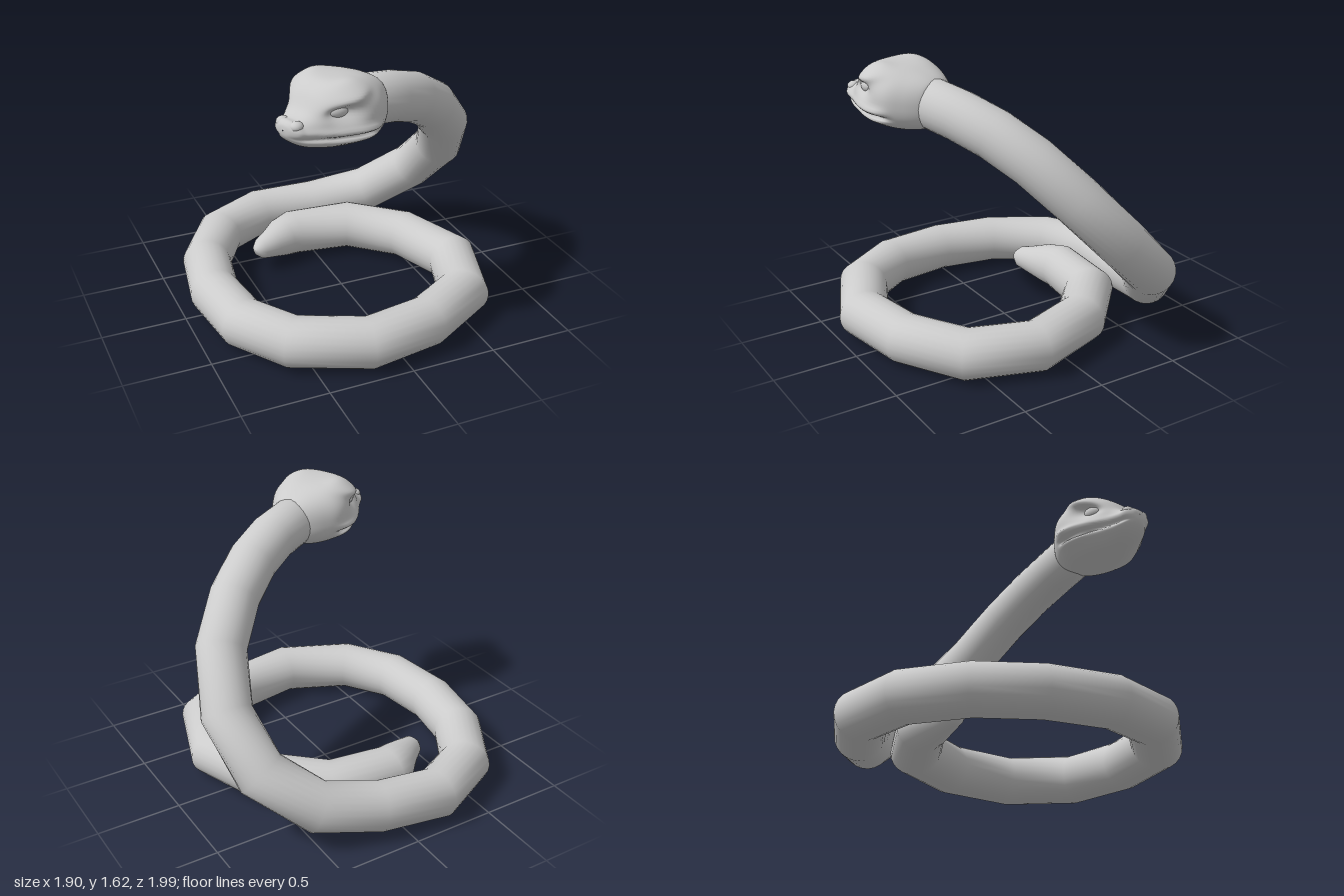
import * as THREE from 'three';

const material = new THREE.MeshStandardMaterial({ color: 0xcccccc });

// Smooth skin over a list of closed rings of points
function loft(name, rings) {
  const n = rings[0].length, index = [];
  for (let i = 0; i < rings.length - 1; i++) {
    for (let j = 0; j < n; j++) {
      const a = i * n + j, b = i * n + (j + 1) % n;
      index.push(a, a + n, b, b, a + n, b + n);
    }
  }
  const geometry = new THREE.BufferGeometry().setFromPoints(rings.flat());
  geometry.setIndex(index);
  geometry.computeVertexNormals();
  const mesh = new THREE.Mesh(geometry, material);
  mesh.name = name;
  return mesh;
}

// Coiled body: straight, mitred segments from tail tip to neck
function makeBody() {
  const R = 0.144, Y = 0.15;
  // x, y, z, radius
  const path = [
    [-0.435, Y, -0.362, 0.001], [-0.425, Y, -0.365, 0.035], [-0.39, Y, -0.375, 0.066],
    [-0.31, Y, -0.41, 0.09], [-0.22, Y, -0.46, 0.122], [-0.13, Y, -0.5, 0.137],
    [0.24, Y, -0.46, R], [0.52, Y, -0.2, R], [0.66, Y, 0.2, R], [0.53, Y, 0.58, R],
    [0.19, Y, 0.78, R], [-0.2, Y, 0.845, R], [-0.58, Y, 0.67, R], [-0.77, Y, 0.38, R],
    [-0.815, Y, 0, R], [-0.75, Y, -0.36, R], [-0.56, Y, -0.68, R], [-0.235, 0.155, -0.846, R],
    [0.135, 0.175, -0.8, R], [0.48, 0.25, -0.71, R], [0.73, 0.455, -0.53, R],
    [0.79, 0.715, -0.27, R], [0.69, 0.98, -0.03, R], [0.51, 1.18, 0.14, R],
    [0.32, 1.305, 0.27, R], [0.13, 1.375, 0.37, R], [-0.1, 1.42, 0.46, R],
    [-0.2, 1.43, 0.5, 0.001],
  ];
  const pts = path.map(p => new THREE.Vector3(p[0], p[1], p[2]));
  const up = new THREE.Vector3(0, 1, 0);
  const rings = pts.map((p, i) => {
    const last = pts.length - 1;
    const before = pts[Math.max(i, 1)].clone().sub(pts[Math.max(i, 1) - 1]).normalize();
    const after = pts[Math.min(i + 1, last)].clone().sub(pts[Math.min(i, last - 1)]).normalize();
    const t = before.clone().add(after).normalize();
    const bend = after.clone().sub(before).normalize();
    const stretch = 1 / t.dot(before) - 1;
    const side = t.clone().cross(up).normalize(), top = side.clone().cross(t);
    return Array.from({ length: 24 }, (_, j) => {
      const a = j / 24 * Math.PI * 2;
      const v = side.clone().multiplyScalar(Math.cos(a)).addScaledVector(top, Math.sin(a));
      v.addScaledVector(bend, v.dot(bend) * stretch);
      return v.multiplyScalar(path[i][3]).add(p);
    });
  });
  return loft('coiledBody', rings);
}

const bump = (d, size) => Math.exp(-((d / size) ** 2));

// Sideways relief of the face: brow, eye socket, lips and mouth
function relief(y, z) {
  const face = THREE.MathUtils.smoothstep(z, -0.16, -0.04);
  const brow = 0.04 * bump(y - (1.575 - 0.3 * z), 0.035) * bump(z - 0.06, 0.16);
  const socket = -0.055 * bump(y - 1.485, 0.042) * bump(z - 0.11, 0.085);
  const mouthY = 1.35 + 0.4 * Math.max(0, z - 0.1) ** 2;
  const mouth = -0.028 * bump(y - mouthY, 0.011);
  const lips = 0.02 * bump(y - mouthY - 0.035, 0.022) + 0.015 * bump(y - mouthY + 0.03, 0.02);
  return brow + socket + face * (mouth + lips);
}

// Head, facing local +z
function makeHead() {
  const head = new THREE.Group();
  head.name = 'head';
  // z, half width, top, bottom
  const sections = [
    [-0.29, 0.1, 1.52, 1.31], [-0.27, 0.14, 1.55, 1.285], [-0.2, 0.2, 1.585, 1.262],
    [-0.11, 0.25, 1.612, 1.255], [0, 0.25, 1.622, 1.255], [0.1, 0.212, 1.615, 1.262],
    [0.17, 0.17, 1.57, 1.275], [0.23, 0.13, 1.49, 1.292], [0.28, 0.105, 1.458, 1.315],
    [0.32, 0.085, 1.458, 1.345], [0.343, 0.045, 1.44, 1.375], [0.35, 0.002, 1.412, 1.408],
  ];
  const widths = new THREE.CatmullRomCurve3(
    sections.map(s => new THREE.Vector3(s[0], s[1], 0)), false, 'catmullrom');
  const heights = new THREE.CatmullRomCurve3(
    sections.map(s => new THREE.Vector3(s[0], s[2], s[3])), false, 'catmullrom');
  const power = (v, p) => Math.sign(v) * Math.abs(v) ** p;
  const rings = [];
  for (let i = 0; i <= 66; i++) {
    const { x: z, y: w } = widths.getPoint(i / 66);
    const { y: top, z: bottom } = heights.getPoint(i / 66);
    const mid = (top + bottom) / 2, h = (top - bottom) / 2;
    rings.push(Array.from({ length: 96 }, (_, j) => {
      const a = j / 96 * Math.PI * 2;
      const y = mid + h * power(Math.sin(a), 0.85);
      const x = -w * power(Math.cos(a), 0.8) * (1 + relief(y, z) / 0.2);
      // Brows rise above the middle of the skull
      const lift = 0.025 * bump(Math.abs(x) - 0.15, 0.07) * bump(z - 0.02, 0.1);
      return new THREE.Vector3(x, y + (Math.sin(a) > 0 ? lift * Math.sin(a) : 0), z);
    }));
  }
  head.add(loft('skull', rings));

  // Eyes and nostril bulges on both sides
  for (const s of [-1, 1]) {
    const eye = new THREE.Mesh(new THREE.SphereGeometry(0.05, 24, 16), material);
    eye.name = s > 0 ? 'leftEye' : 'rightEye';
    eye.scale.set(0.7, 0.75, 1.15);
    eye.position.set(s * 0.142, 1.488, 0.105);
    eye.rotation.y = -s * 0.45;
    head.add(eye);
    const nostril = new THREE.Mesh(new THREE.SphereGeometry(0.036, 20, 14), material);
    nostril.name = s > 0 ? 'leftNostril' : 'rightNostril';
    nostril.scale.set(1, 0.8, 1);
    nostril.position.set(s * 0.052, 1.432, 0.303);
    head.add(nostril);
  }
  head.position.set(-0.28, 0, 0.53);
  head.rotation.y = Math.atan2(-0.93, 0.36);
  return head;
}

export function createModel() {
  const model = new THREE.Group();
  model.name = 'snake';
  model.add(makeBody(), makeHead());
  return model;
}
